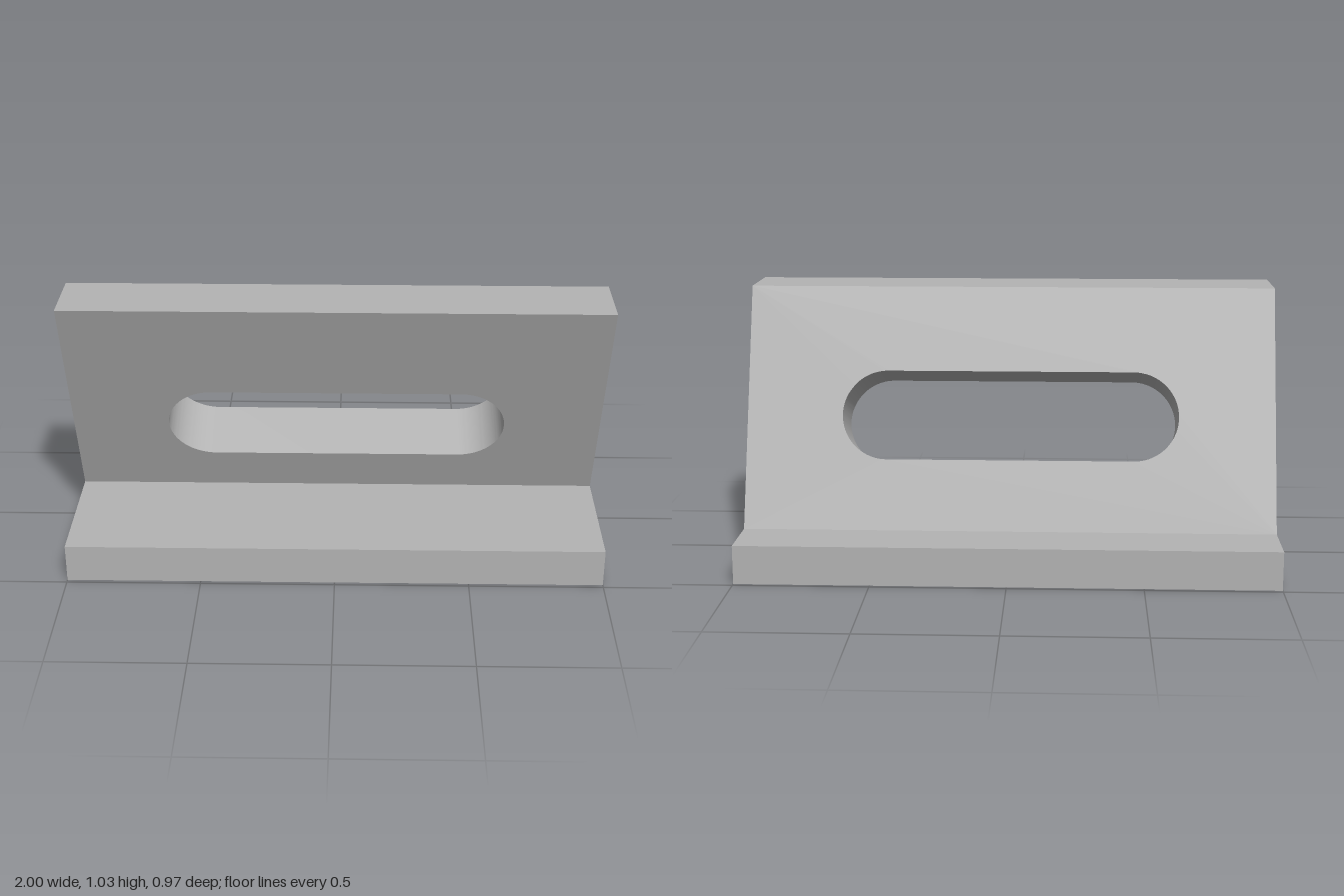
import * as THREE from 'three';
import { toCreasedNormals } from 'three/addons/utils/BufferGeometryUtils.js';

const BASE_H = 0.145, BASE_D = 0.97, TOP = 1.025;
const LEAN = THREE.MathUtils.degToRad(20);
const THICK = 0.241;
const SLOT_R = 0.17, SLOT_X = 0.467, SLOT_U = 0.351;

// Leaning plate with a slot cut square through it; its ends are mitred level.
function leaningPlateGeometry() {
  const length = (TOP - BASE_H) / Math.cos(LEAN);
  const shape = new THREE.Shape();
  shape.moveTo(-1, 0);
  shape.lineTo(1, 0);
  shape.lineTo(1, length);
  shape.lineTo(-1, length);
  shape.closePath();

  const slot = new THREE.Path();
  slot.absarc(SLOT_X, SLOT_U, SLOT_R, -Math.PI / 2, Math.PI / 2, false);
  slot.absarc(-SLOT_X, SLOT_U, SLOT_R, Math.PI / 2, Math.PI * 1.5, false);
  slot.closePath();
  shape.holes.push(slot);

  const geo = new THREE.ExtrudeGeometry(shape, { depth: THICK, bevelEnabled: false, curveSegments: 32 });
  geo.translate(0, 0, -THICK);

  // Slide the end vertices along the plate so the ends become horizontal
  const p = geo.attributes.position;
  for (let i = 0; i < p.count; i++) {
    const u = p.getY(i);
    if (u < 1e-4 || u > length - 1e-4) p.setY(i, u + p.getZ(i) * Math.tan(LEAN));
  }
  geo.rotateX(LEAN);
  geo.translate(0, BASE_H, -0.004);
  return toCreasedNormals(geo, 0.5);
}

export function createModel() {
  const model = new THREE.Group();
  model.name = 'slottedBracket';
  const grey = new THREE.MeshStandardMaterial({ color: 0xb3b3b3 });
  grey.name = 'light grey';

  // Flat foot
  const base = new THREE.Mesh(new THREE.BoxGeometry(2, BASE_H, BASE_D), grey);
  base.name = 'basePlate';
  base.position.y = BASE_H / 2;

  // Leaning slotted wall
  const plate = new THREE.Mesh(leaningPlateGeometry(), grey);
  plate.name = 'leaningSlottedPlate';

  model.add(base, plate);
  return model;
}
